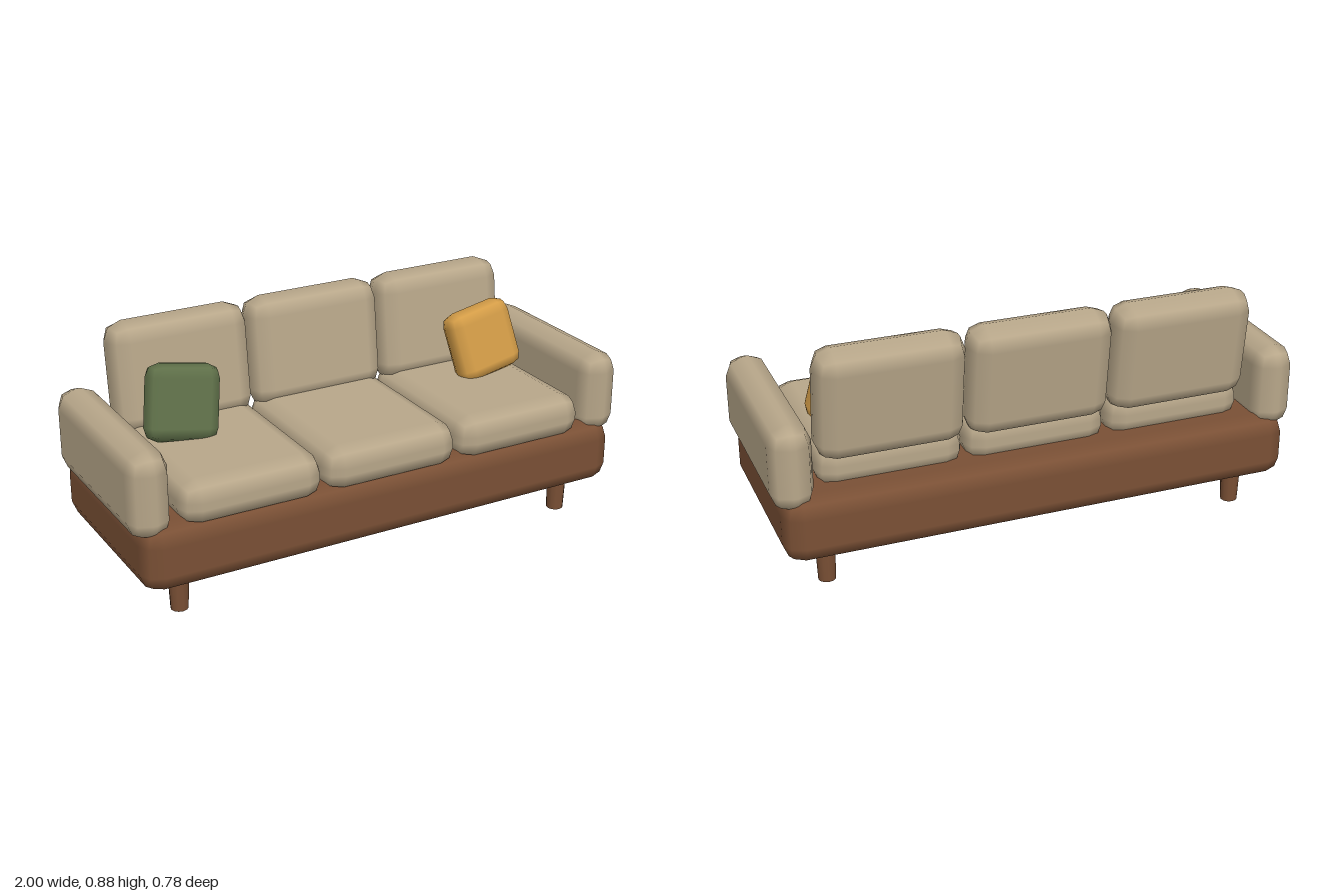
import * as THREE from 'three';
import { RoundedBoxGeometry } from 'three/addons/geometries/RoundedBoxGeometry.js';

const material = (name, color) => {
  const m = new THREE.MeshStandardMaterial({ color });
  m.name = name;
  return m;
};

export function createModel() {
  const sofa = new THREE.Group();
  sofa.name = 'sofa';

  const fabric = material('beige fabric', 0xb8a78a);
  const wood = material('brown wood', 0x7a5035);
  const green = material('olive green', 0x5f7049);
  const mustard = material('mustard yellow', 0xd39c47);

  const add = (name, geometry, mat, x, y, z) => {
    const mesh = new THREE.Mesh(geometry, mat);
    mesh.name = name;
    mesh.position.set(x, y, z);
    sofa.add(mesh);
    return mesh;
  };
  // soft block with a two-step rounded edge
  const soft = (w, h, d, r = 0.07) => new RoundedBoxGeometry(w, h, d, 1, r);

  // base
  add('base', soft(1.94, 0.25, 0.78), wood, 0, 0.255, 0);

  // seat and back cushions
  const seat = soft(0.545, 0.167, 0.67);
  const back = soft(0.545, 0.42, 0.166);
  for (const x of [-0.55, 0, 0.55]) {
    add('seatCushion', seat, fabric, x, 0.429, 0.05);
    add('backCushion', back, fabric, x, 0.6745, -0.253).rotation.x = -0.12;
  }

  // arms, legs and throw pillows on both sides
  const arm = soft(0.156, 0.32, 0.75);
  const leg = new THREE.CylinderGeometry(0.038, 0.032, 0.15, 12);
  const pillow = soft(0.28, 0.28, 0.115, 0.05);
  for (const side of [-1, 1]) {
    add(side > 0 ? 'leftArm' : 'rightArm', arm, fabric, side * 0.922, 0.487, 0);
    add('frontLeg', leg, wood, side * 0.805, 0.075, 0.264);
    add('backLeg', leg, wood, side * 0.805, 0.075, -0.264);
    add(side > 0 ? 'leftPillow' : 'rightPillow', pillow, side > 0 ? mustard : green,
      side * 0.635, 0.632, -0.037).rotation.set(-0.25, 0, side * 0.18);
  }
  return sofa;
}
